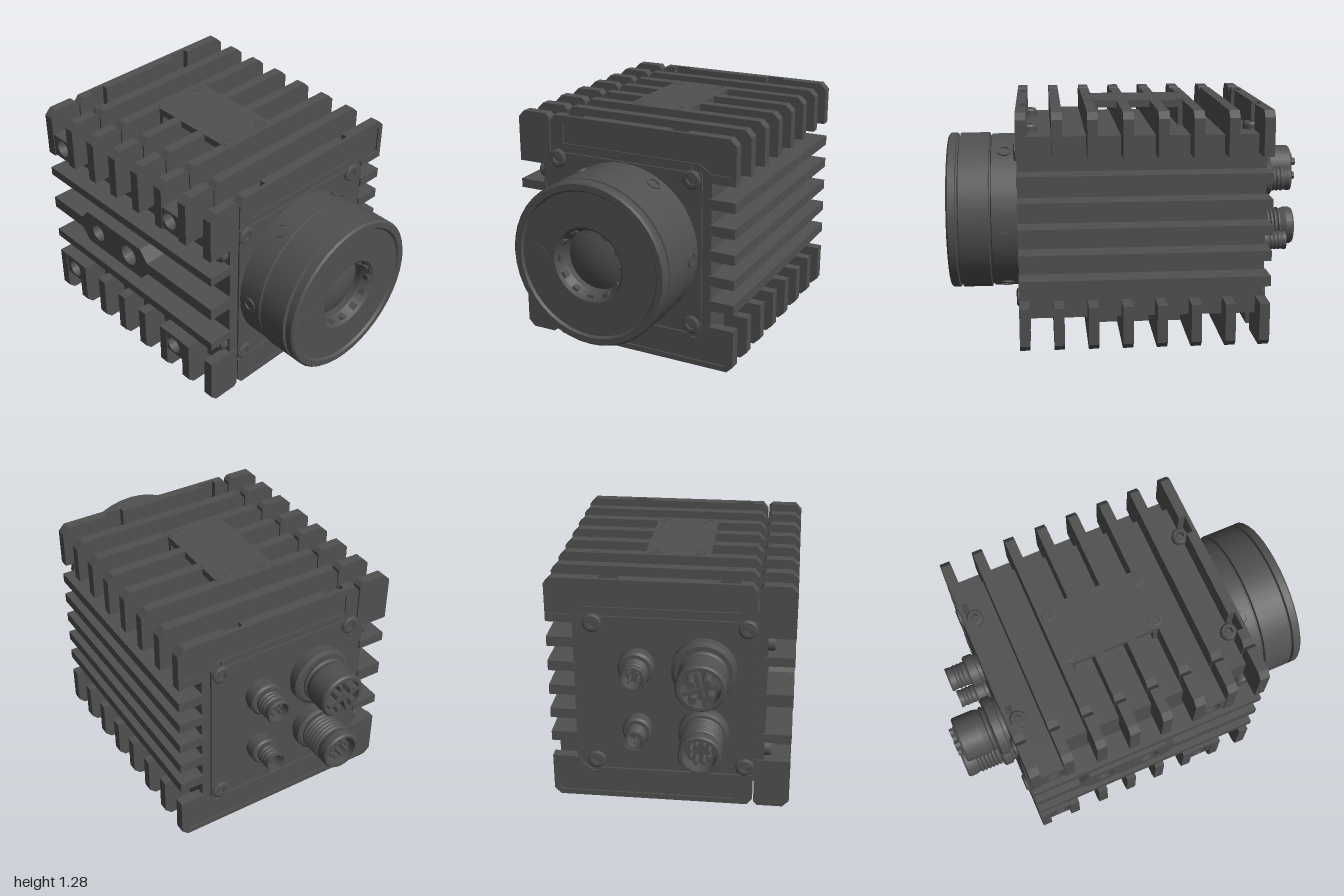
import * as THREE from 'three';

const H = 1.27, CY = H / 2;
const mat = new THREE.MeshStandardMaterial({ color: 0x505050, side: THREE.DoubleSide });
const flat = new THREE.MeshStandardMaterial({ color: 0x505050, side: THREE.DoubleSide, flatShading: true });

export function createModel() {
  const root = new THREE.Group();

  const add = (name, geo, parent = root, m = flat) => {
    const mesh = new THREE.Mesh(geo, m);
    mesh.name = name;
    parent.add(mesh);
    return mesh;
  };
  // box given by its limits
  const box = (name, x0, x1, y0, y1, z0, z1) =>
    add(name, new THREE.BoxGeometry(x1 - x0, y1 - y0, z1 - z0)
      .translate((x0 + x1) / 2, (y0 + y1) / 2, (z0 + z1) / 2));
  const poly = pts => new THREE.Shape(pts.map(p => new THREE.Vector2(...p)));
  const flip = pts => pts.map(([z, y]) => [z, H - y]);
  // slab with a (z, y) outline between two x positions
  const slab = (name, pts, x0, x1, hole) => {
    const s = poly(pts);
    if (hole) s.holes.push(poly(hole));
    add(name, new THREE.ExtrudeGeometry(s, { depth: x1 - x0, bevelEnabled: false })
      .rotateY(-Math.PI / 2).translate(x1, 0, 0));
  };
  // turned part: profile of [radius, height], axis pointing along dir
  const turned = (name, profile, pos, dir, seg = 24) => {
    const pts = profile.map(p => new THREE.Vector2(...p));
    // each straight run is its own lathe strip so the edges stay sharp
    const g = new THREE.Group();
    g.name = name;
    for (let i = 0; i < pts.length - 1; i++)
      add(name + 'Surface', new THREE.LatheGeometry([pts[i], pts[i + 1]], seg), g, mat);
    g.position.set(...pos);
    g.quaternion.setFromUnitVectors(new THREE.Vector3(0, 1, 0), new THREE.Vector3(...dir));
    root.add(g);
    return g;
  };
  // socket head screw
  const screw = (pos, dir, r = 0.045, h = 0.04) => {
    const g = turned('screw', [[r, 0], [r, h * 0.7], [r * 0.8, h], [r * 0.5, h]], pos, dir, 16);
    add('screwSocket', new THREE.CylinderGeometry(r * 0.5, r * 0.5, h * 0.8, 6, 1, true).translate(0, h * 0.6, 0), g);
    add('screwSocketFloor', new THREE.CircleGeometry(r * 0.5, 6).rotateX(-Math.PI / 2).translate(0, h * 0.2, 0), g);
  };

  // housing core
  box('core', -0.7, 0.61, 0.145, 1.13, -0.5, 0.495);
  for (const x of [-0.71, 0.6])
    slab('endFace', [[-0.45, 0.2], [0.438, 0.2], [0.438, 1.07], [-0.45, 1.07]], x, x + 0.02);

  // cooling fins wrapped round the top and bottom edges, rear and front sections
  const c = 0.035;
  const rear = [[0.438, 1.09], [0.438, H - c], [0.41, H], [-0.635 + c, H], [-0.635, H - c], [-0.635, 1.03],
    [-0.49, 1.03], [-0.47, 1.07], [-0.42, 1.11], [-0.39, 1.11], [-0.39, 1.09]];
  const front = [[0.445, 0.99], [0.635, 0.99], [0.635, H - c], [0.635 - c, H], [0.465, H], [0.445, H - 0.02]];
  const notched = [[0.438, 1.09], [0.438, H - c], [0.41, H], [0.35, H], [0.35, 1.12], [0.25, 1.12], [0.25, H],
    [-0.26, H], [-0.26, 1.12], [-0.36, 1.12], [-0.36, H],
    [-0.635 + c, H], [-0.635, H - c], [-0.635, 1.03], [-0.49, 1.03], [-0.42, 1.11]];
  const pocket = [[0.36, 1.12], [0.36, 1.225], [0.345, 1.24], [-0.59, 1.24], [-0.605, 1.225],
    [-0.605, 1.075], [-0.5, 1.075], [-0.44, 1.12]];
  const finX = [...Array(8).keys()].map(i => -0.71 + i * 0.1821);
  for (const m of [p => p, flip]) {
    finX.forEach((x, i) => {
      const w = 0.055;
      slab('frontFin', m(front), x, x + w);
      if (i > 0 && i < 7) slab('fin', m(rear), x, x + w);
      else {
        // end fins: shallow pocket outside, screw clearance inside
        const [a, b, d, e] = i ? [x + w - 0.008, x + w, x + w - 0.02, x] : [x, x + 0.008, x + 0.008, x + 0.02];
        slab('endFinRim', m(rear), a, b, m(pocket));
        if (i) {
          slab('endFinWeb', m(rear), d, a);
          slab('endFinInner', m(notched), e, d);
        } else {
          slab('endFinWeb', m(rear), d, e);
          slab('endFinInner', m(notched), e, x + w);
        }
      }
    });
  }

  // horizontal fins at the back and front
  for (let i = 0; i < 5; i++) box('backFin', -0.71, 0.62, 0.335 + i * 0.139, 0.39 + i * 0.139, -0.635, -0.49);
  for (const y of [0.39, 0.835]) box('frontRail', -0.71, 0.62, y, y + 0.05, 0.48, 0.635);

  // front mounting pad with two threaded holes
  const padShape = poly([[-0.71, 0.605], [-0.45, 0.605], [-0.395, 0.54], [0.06, 0.54], [0.115, 0.605], [0.62, 0.605],
    [0.62, 0.675], [0.115, 0.675], [0.06, 0.74], [-0.395, 0.74], [-0.45, 0.675], [-0.71, 0.675]]);
  for (const [x, r] of [[-0.305, 0.05], [-0.04, 0.06]])
    padShape.holes.push(new THREE.Path().absarc(x, 0.64, r, 0, Math.PI * 2, true));
  add('mountingPad', new THREE.ExtrudeGeometry(padShape, { depth: 0.145, bevelEnabled: false, curveSegments: 10 })
    .translate(0, 0, 0.49));

  // front blocks between fins, each with a hole
  for (const [x0, x1, hx] of [[-0.7, -0.48, -0.58], [0.21, 0.43, 0.31]])
    for (const [y0, hy] of [[1.0, 1.07], [0.145, 0.205]]) {
      const s = poly([[x0, y0], [x1, y0], [x1, y0 + 0.13], [x0, y0 + 0.13]]);
      s.holes.push(new THREE.Path().absarc(hx, hy, 0.048, 0, Math.PI * 2, true));
      add('holeBlock', new THREE.ExtrudeGeometry(s, { depth: 0.14, bevelEnabled: false, curveSegments: 10 })
        .translate(0, 0, 0.49));
    }

  // cover plates carried by the middle fins, top and bottom
  for (const s of [1, -1]) {
    const at = y => CY + s * (y - CY);
    const span = (name, x0, x1, ya, yb, z) =>
      box(name, x0, x1, Math.min(at(ya), at(yb)), Math.max(at(ya), at(yb)), -z, z);
    span('coverPlate', -0.345, 0.255, 1.232, 1.271, 0.172);
    span('coverSupport', -0.345, -0.265, 1.12, 1.24, 0.17);
    span('coverSupport', 0.175, 0.255, 1.12, 1.24, 0.17);
    for (const z of [-0.122, 0.122])
      for (const x of [-0.295, 0.205]) screw([x, at(1.27), z], [0, s, 0], 0.038, 0.004);
    // screws on the core top, front and ends
    for (const x of [-0.645, 0.555]) {
      for (const z of [-0.31, 0.3]) screw([x, at(1.13), z], [0, s, 0]);
      screw([x, at(0.942), 0.495], [0, 0, 1]);
    }
    for (const z of [-0.395, 0.395]) {
      screw([0.615, at(1.035), z], [1, 0, 0], 0.05, 0.02);
      screw([-0.705, at(1.035), z], [-1, 0, 0], 0.05, 0.02);
    }
  }

  // lens barrel with two grooves, recessed face and central opening
  turned('lensBarrel', [[0.43, 0], [0.43, 0.14], [0.42, 0.145], [0.42, 0.15], [0.437, 0.155], [0.437, 0.315],
    [0.42, 0.32], [0.42, 0.328], [0.437, 0.333], [0.437, 0.37], [0.427, 0.38], [0.395, 0.38], [0.385, 0.368],
    [0.2, 0.368], [0.185, 0.355], [0.165, 0.31], [0.165, 0.26]], [0.62, CY, 0], [1, 0, 0], 40);
  const glass = add('lensGlass', new THREE.SphereGeometry(0.4, 28, 6, 0, Math.PI * 2, 0, 0.44), root, mat);
  glass.rotation.z = -Math.PI / 2;
  glass.position.set(0.53, CY, 0);
  for (let i = 0; i < 12; i++) {
    const a = i * Math.PI / 6;
    const tooth = add('openingTooth', new THREE.BoxGeometry(0.04, 0.022, 0.035));
    tooth.position.set(0.955, CY + Math.cos(a) * 0.18, Math.sin(a) * 0.18);
    tooth.rotation.x = a;
  }
  turned('facePlug', [[0.06, 0], [0.06, 0.003], [0, 0.003]], [0.988, CY, 0.3], [1, 0, 0]);
  for (let i = 0; i < 6; i++) {
    const a = i * Math.PI / 3, dir = [0, Math.sin(a), Math.cos(a)];
    turned('barrelScrew', [[0.04, 0], [0.04, 0.016], [0.028, 0.016], [0.028, 0.004], [0, 0.004]],
      [0.69, CY + dir[1] * 0.42, dir[2] * 0.42], dir, 12);
  }

  // connectors: flange, threaded sleeve, hollow end with pins
  const connector = (y, z, flange, r, length, threads, pins) => {
    const prof = [[flange * 0.9, 0], [flange * 0.9, 0.02], [flange, 0.025], [flange, 0.07], [flange * 0.88, 0.08],
      [r * 0.93, 0.08]];
    const step = 0.022;
    for (let i = 0; i < threads; i++)
      prof.push([r, 0.09 + i * step], [r, 0.098 + i * step], [r * 0.92, 0.106 + i * step]);
    prof.push([r, 0.112 + threads * step], [r, length - 0.01], [r * 0.94, length], [r * 0.8, length],
      [r * 0.78, length - 0.08], [0, length - 0.08]);
    const g = turned('connector', prof, [-0.71, y, z], [-1, 0, 0], 24);
    for (let i = 0; i < pins; i++) {
      const a = (i + 0.5) * Math.PI * 2 / pins;
      add('pin', new THREE.CylinderGeometry(r * 0.11, r * 0.11, 0.07, 8)
        .translate(Math.cos(a) * r * 0.45, length - 0.05, Math.sin(a) * r * 0.45), g);
    }
    return g;
  };
  const big = connector(0.82, 0.18, 0.167, 0.127, 0.26, 1, 0);
  for (const a of [0, Math.PI / 2])
    add('shieldCross', new THREE.BoxGeometry(0.19, 0.1, 0.02).rotateY(a + 0.3).translate(0, 0.22, 0), big);
  for (const a of [0.6, 2.2, 3.8, 5.4])
    add('contactBlock', new THREE.CylinderGeometry(0.022, 0.022, 0.11, 8)
      .translate(Math.cos(a) * 0.06, 0.235, Math.sin(a) * 0.06), big);
  connector(0.46, 0.18, 0.13, 0.11, 0.29, 6, 8);
  connector(0.82, -0.165, 0.092, 0.068, 0.19, 3, 4);
  connector(0.46, -0.165, 0.075, 0.052, 0.17, 3, 1);

  return root;
}
